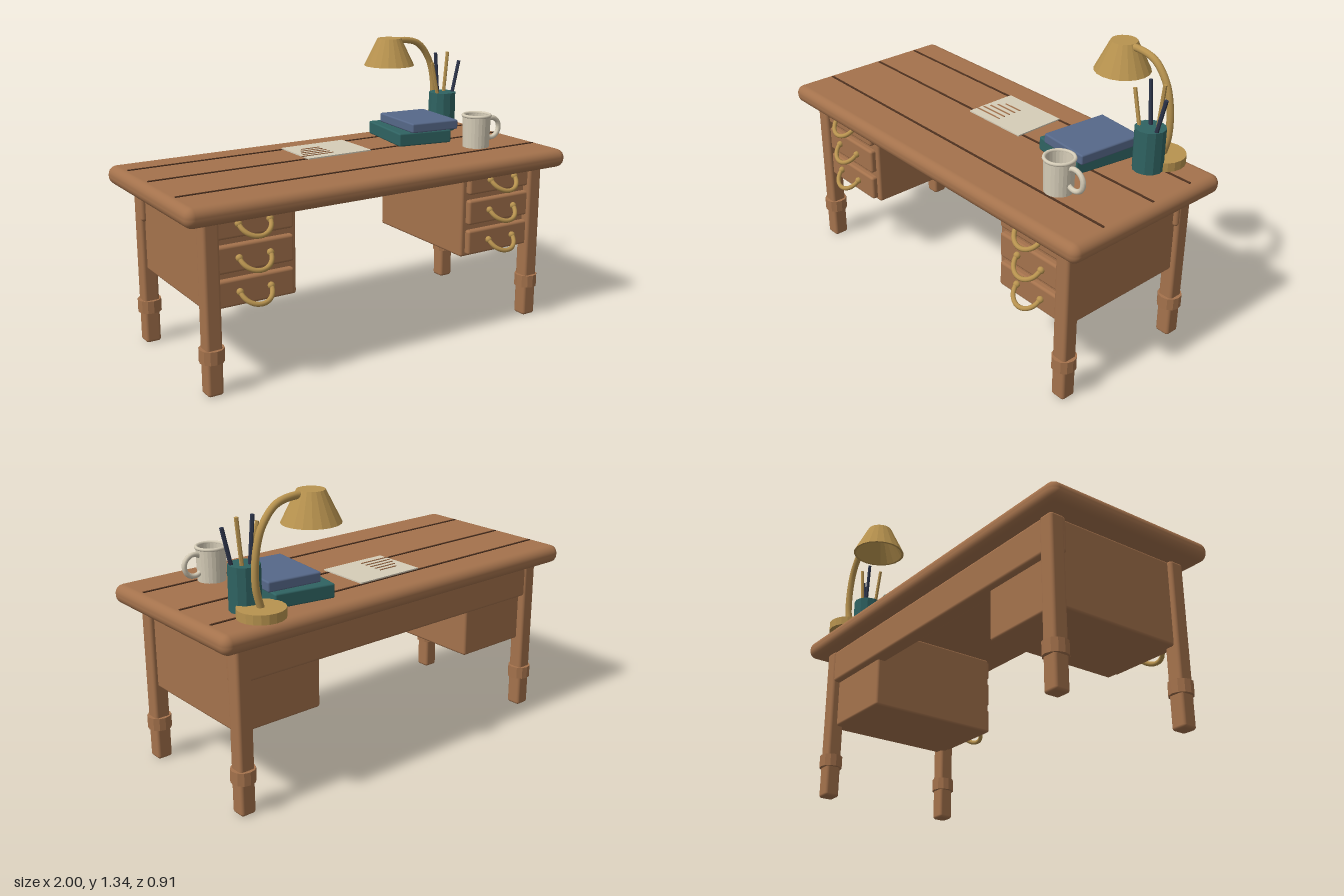
import * as THREE from 'three';
import { RoundedBoxGeometry } from 'three/addons/geometries/RoundedBoxGeometry.js';

const mat = (name, color) => {
  const m = new THREE.MeshStandardMaterial({ color });
  m.name = name;
  return m;
};

export function createModel() {
  const wood = mat('wood', 0xa4724c);
  const groove = mat('dark groove', 0x4f3220);
  const brass = mat('brass', 0xb8934f);
  const teal = mat('teal', 0x2f6362);
  const blue = mat('book blue', 0x566889);
  const navy = mat('pen navy', 0x2e364c);
  const cream = mat('cream', 0xd6cdb8);
  cream.side = THREE.DoubleSide;

  const root = new THREE.Group();
  root.name = 'writingDesk';

  const add = (name, geo, material, x = 0, y = 0, z = 0, parent = root) => {
    const mesh = new THREE.Mesh(geo, material);
    mesh.name = name;
    mesh.position.set(x, y, z);
    parent.add(mesh);
    return mesh;
  };
  // Rounded box given by its extents
  const block = (name, material, [x0, x1], [y0, y1], [z0, z1], r) =>
    add(name, new RoundedBoxGeometry(x1 - x0, y1 - y0, z1 - z0, 3, r), material,
      (x0 + x1) / 2, (y0 + y1) / 2, (z0 + z1) / 2);
  // Faceted version of a geometry
  const faceted = (geo) => {
    const g = geo.toNonIndexed();
    g.computeVertexNormals();
    return g;
  };

  // Top with plank grooves
  block('tabletop', wood, [-1, 1], [0.76, 0.848], [-0.433, 0.457], 0.04);
  for (const z of [-0.27, -0.038, 0.255])
    add('plankGroove', new THREE.BoxGeometry(1.915, 0.008, 0.01), groove, 0, 0.848, z);

  // Legs with collars
  for (const x of [-0.865, 0.865]) {
    for (const z of [0.352, -0.325]) {
      add('leg', new RoundedBoxGeometry(0.074, 0.765, 0.074, 3, 0.014), wood, x, 0.3825, z);
      add('legCollar', faceted(new THREE.CylinderGeometry(0.055, 0.055, 0.06, 12)), wood, x, 0.18, z);
    }
  }

  // Back panel
  block('backPanel', wood, [-0.9, 0.9], [0.597, 0.765], [-0.356, -0.277], 0.015);

  // Drawer pedestals, drawers and pulls
  for (const side of [-1, 1]) {
    const cx = side * 0.665;
    block('pedestal', wood, [cx - 0.215, cx + 0.215], [0.364, 0.765], [-0.325, 0.345], 0.012);
    for (let i = 0; i < 3; i++) {
      const y = 0.436 + i * 0.148;
      block('drawerFront', wood, [cx - 0.19, cx + 0.19], [y - 0.06, y + 0.06], [0.33, 0.372], 0.012);
      const pull = new THREE.Group();
      pull.name = 'drawerPull';
      pull.position.set(cx, y + 0.003, 0.38);
      const arc = new THREE.TorusGeometry(0.073, 0.011, 8, 18, Math.PI);
      arc.rotateZ(Math.PI);
      arc.rotateX(-0.8);
      add('pullArc', arc, brass, 0, 0, 0, pull);
      for (const s of [-1, 1])
        add('pullKnob', new THREE.SphereGeometry(0.016, 12, 8), brass, s * 0.073, 0, -0.002, pull);
      root.add(pull);
    }
  }

  // Sheet of paper with ruled marks
  add('paper', new THREE.BoxGeometry(0.345, 0.006, 0.262), cream, -0.003, 0.855, -0.14);
  [-0.115, -0.137, -0.153, -0.163, -0.188].forEach((x0, i) => {
    add('writtenLine', new THREE.BoxGeometry(-0.015 - x0, 0.004, 0.006), wood,
      (x0 - 0.015) / 2, 0.859, -0.186 + i * 0.0325);
  });

  // Stacked books
  add('lowerBook', new RoundedBoxGeometry(0.283, 0.065, 0.36, 2, 0.008), teal, 0.492, 0.887, -0.147)
    .rotation.y = -0.16;
  add('upperBook', new RoundedBoxGeometry(0.258, 0.047, 0.333, 2, 0.008), blue, 0.527, 0.943, -0.118)
    .rotation.y = -0.1;

  // Mug: hollow body, rim and ring handle
  const mug = new THREE.Group();
  mug.name = 'mug';
  mug.position.set(0.643, 0.858, 0.197);
  const mugProfile = [[0, 0], [0.064, 0], [0.068, 0.155], [0.058, 0.155], [0.055, 0.02], [0, 0.02]]
    .map(([x, y]) => new THREE.Vector2(x, y));
  add('mugBody', faceted(new THREE.LatheGeometry(mugProfile, 24)), cream, 0, 0, 0, mug);
  const rim = new THREE.TorusGeometry(0.065, 0.008, 8, 28);
  rim.rotateX(Math.PI / 2);
  add('mugRim', rim, cream, 0, 0.153, 0, mug);
  add('mugHandle', new THREE.TorusGeometry(0.049, 0.012, 8, 24), cream, 0.09, 0.083, 0, mug);
  root.add(mug);

  // Pen cup with four leaning pens
  add('penCup', faceted(new THREE.CylinderGeometry(0.069, 0.069, 0.197, 12)), teal, 0.757, 0.955, -0.226);
  const pens = [
    [0.673, 1.213, -0.206, 0.735, brass], [0.722, 1.256, -0.245, 0.75, navy],
    [0.8, 1.256, -0.245, 0.77, brass], [0.845, 1.213, -0.206, 0.78, navy],
  ];
  for (const [x, y, z, footX, material] of pens) {
    const foot = new THREE.Vector3(footX, 0.94, z);
    const axis = new THREE.Vector3(x, y, z).sub(foot);
    const pen = add('pen', faceted(new THREE.CylinderGeometry(0.009, 0.009, axis.length(), 6)), material);
    pen.position.copy(foot).addScaledVector(axis, 0.5);
    pen.quaternion.setFromUnitVectors(new THREE.Vector3(0, 1, 0), axis.normalize());
  }

  // Desk lamp: base, curved arm and hollow shade
  const lz = -0.328;
  add('lampBase', faceted(new THREE.CylinderGeometry(0.104, 0.104, 0.042, 20)), brass, 0.75, 0.873, lz);
  const armPath = new THREE.CatmullRomCurve3(
    [[0.75, 0.88], [0.774, 0.98], [0.77, 1.11], [0.738, 1.22], [0.67, 1.3], [0.58, 1.323], [0.49, 1.315]]
      .map(([x, y]) => new THREE.Vector3(x, y, lz)));
  add('lampArm', new THREE.TubeGeometry(armPath, 40, 0.0165, 10), brass);
  const shadeProfile = [[0, 0.11], [0.056, 0.11], [0.117, 0], [0.128, 0], [0.06, 0.137], [0, 0.137]]
    .map(([x, y]) => new THREE.Vector2(x, y));
  add('lampShade', faceted(new THREE.LatheGeometry(shadeProfile, 20)), brass, 0.49, 1.201, lz);

  return root;
}
